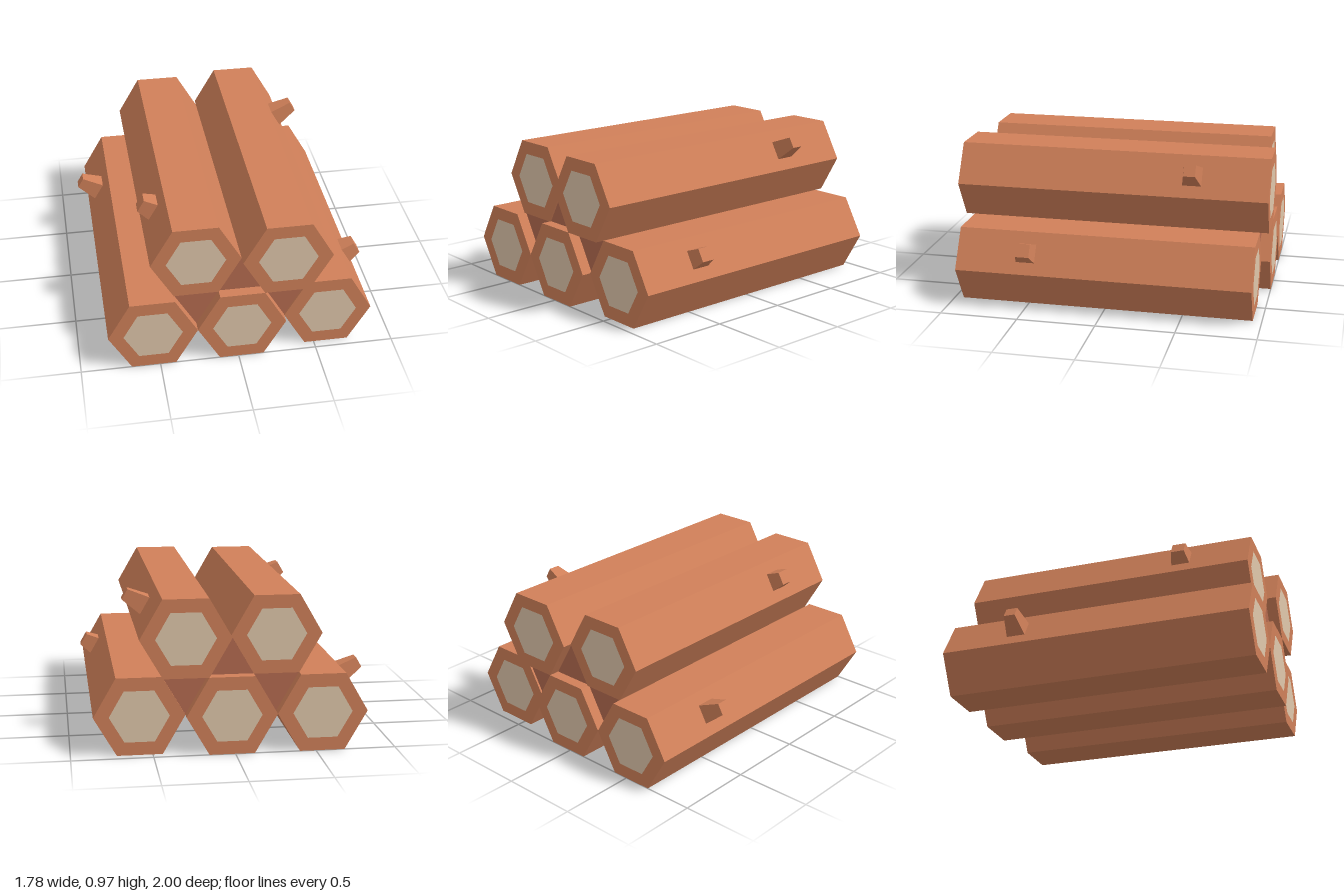
import * as THREE from 'three';

const bark = new THREE.MeshStandardMaterial({ color: 0xd08059, flatShading: true });
const cutWood = new THREE.MeshStandardMaterial({ color: 0xe0c7ab, flatShading: true });
const shade = new THREE.MeshStandardMaterial({ color: 0xb56b50, flatShading: true });

const R = 0.28;                      // log radius, corner to corner
const H = R * Math.sqrt(3) / 2;      // log centre to flat side

function part(name, geometry, material) {
  const mesh = new THREE.Mesh(geometry, material);
  mesh.name = name;
  return mesh;
}

// Hexagonal log along z with a pale cut face at each end
function makeLog(x, y, halfLength) {
  const log = new THREE.Group();
  log.name = 'log';
  const body = new THREE.CylinderGeometry(R, R, halfLength * 2, 6);
  body.rotateY(Math.PI / 6 + Math.PI / 3).rotateX(Math.PI / 2);
  log.add(part('logBody', body, bark));
  for (const end of [1, -1]) {
    const cut = part('cutFace', new THREE.CircleGeometry(0.185, 6), cutWood);
    cut.position.z = end * (halfLength + 0.001);
    if (end < 0) cut.rotation.y = Math.PI;
    log.add(cut);
  }
  log.position.set(x, y, 0);
  return log;
}

// Tapered square stub standing on the upper slanted side of a log
function makeStub(x, y, z, side, length, tipHalf) {
  const sink = 0.02;
  const geometry = new THREE.CylinderGeometry(tipHalf * Math.SQRT2, 0.064 * Math.SQRT2, length + sink, 4);
  geometry.rotateY(Math.PI / 4).translate(0, (length + sink) / 2 - sink, 0);
  const stub = part('branchStub', geometry, bark);
  stub.position.set(x + side * H * Math.cos(Math.PI / 6), y + H / 2, z);
  stub.rotation.z = -side * Math.PI / 3;
  return stub;
}

// Triangular filler between three logs; dir 1 points up, -1 points down
function makeFiller(x, y, dir) {
  const shape = new THREE.Shape();
  shape.moveTo(x - dir * R / 2, y);
  shape.lineTo(x + dir * R / 2, y);
  shape.lineTo(x, y + dir * H);
  shape.closePath();
  const geometry = new THREE.ExtrudeGeometry(shape, { depth: 1.86, bevelEnabled: false });
  geometry.translate(0, 0, -0.93);
  return part('gapFiller', geometry, shade);
}

export function createModel() {
  const pile = new THREE.Group();
  pile.name = 'logPile';
  const low = H, high = H * 3;

  // Three logs below, two above
  pile.add(
    makeLog(-0.54, low, 1),
    makeLog(0.02, low, 1),
    makeLog(0.58, low, 0.943),
    makeLog(-0.26, high, 0.943),
    makeLog(0.30, high, 1),
  );

  // Gaps between the logs
  pile.add(
    makeFiller(-0.26, 2 * H, -1),
    makeFiller(0.30, 2 * H, -1),
    makeFiller(0.02, 2 * H, 1),
  );

  // Cut-off branches on the outer sides
  pile.add(
    makeStub(-0.54, low, -0.517, -1, 0.142, 0.037),
    makeStub(0.30, high, -0.517, 1, 0.142, 0.037),
    makeStub(-0.26, high, 0.492, -1, 0.087, 0.043),
    makeStub(0.58, low, 0.492, 1, 0.087, 0.043),
  );
  return pile;
}
